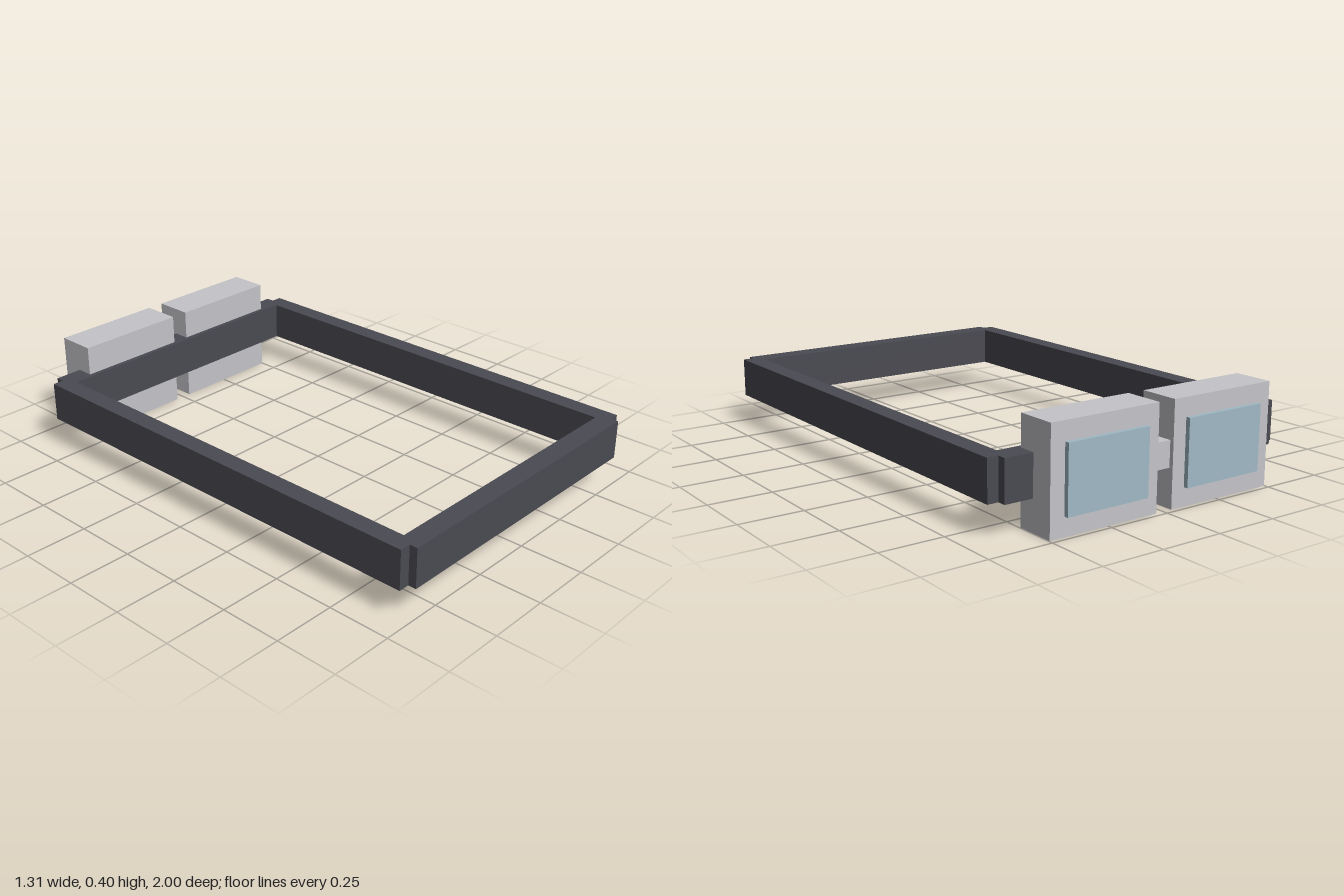
import * as THREE from 'three';

export function createModel() {
  const model = new THREE.Group();
  const material = (name, color) => {
    const m = new THREE.MeshStandardMaterial({ color });
    m.name = name;
    return m;
  };
  const darkFrame = material('darkGrey', 0x4a4a52);
  const lightCase = material('lightGrey', 0xc5c5c9);
  const glass = material('paleBlue', 0xa0b9c5);

  // Box given by its lower and upper limit on each axis
  const addBox = (name, mat, [x0, x1], [y0, y1], [z0, z1]) => {
    const mesh = new THREE.Mesh(new THREE.BoxGeometry(x1 - x0, y1 - y0, z1 - z0), mat);
    mesh.position.set((x0 + x1) / 2, (y0 + y1) / 2, (z0 + z1) / 2);
    mesh.name = name;
    model.add(mesh);
  };

  // Rectangular band: front and back bars with overlapping side bars
  const bandY = [0.12, 0.277];
  addBox('frontBar', darkFrame, [-0.611, 0.611], bandY, [0.918, 1]);
  addBox('backBar', darkFrame, [-0.611, 0.611], bandY, [-0.892, -0.805]);

  for (const side of [1, -1]) {
    const label = side > 0 ? 'left' : 'right';
    const span = (a, b) => (side > 0 ? [a, b] : [-b, -a]);
    addBox(label + 'SideBar', darkFrame, span(0.58, 0.655), bandY, [-0.858, 0.968]);
    // Square lens case with a raised pane on the back
    addBox(label + 'LensCase', lightCase, span(0.035, 0.497), [0, 0.395], [-0.982, -0.824]);
    addBox(label + 'LensPane', glass, span(0.091, 0.438), [0.072, 0.324], [-1, -0.975]);
  }

  // Bridge joining the two lens cases
  addBox('bridge', lightCase, [-0.05, 0.05], [0.148, 0.247], [-0.966, -0.86]);

  return model;
}
